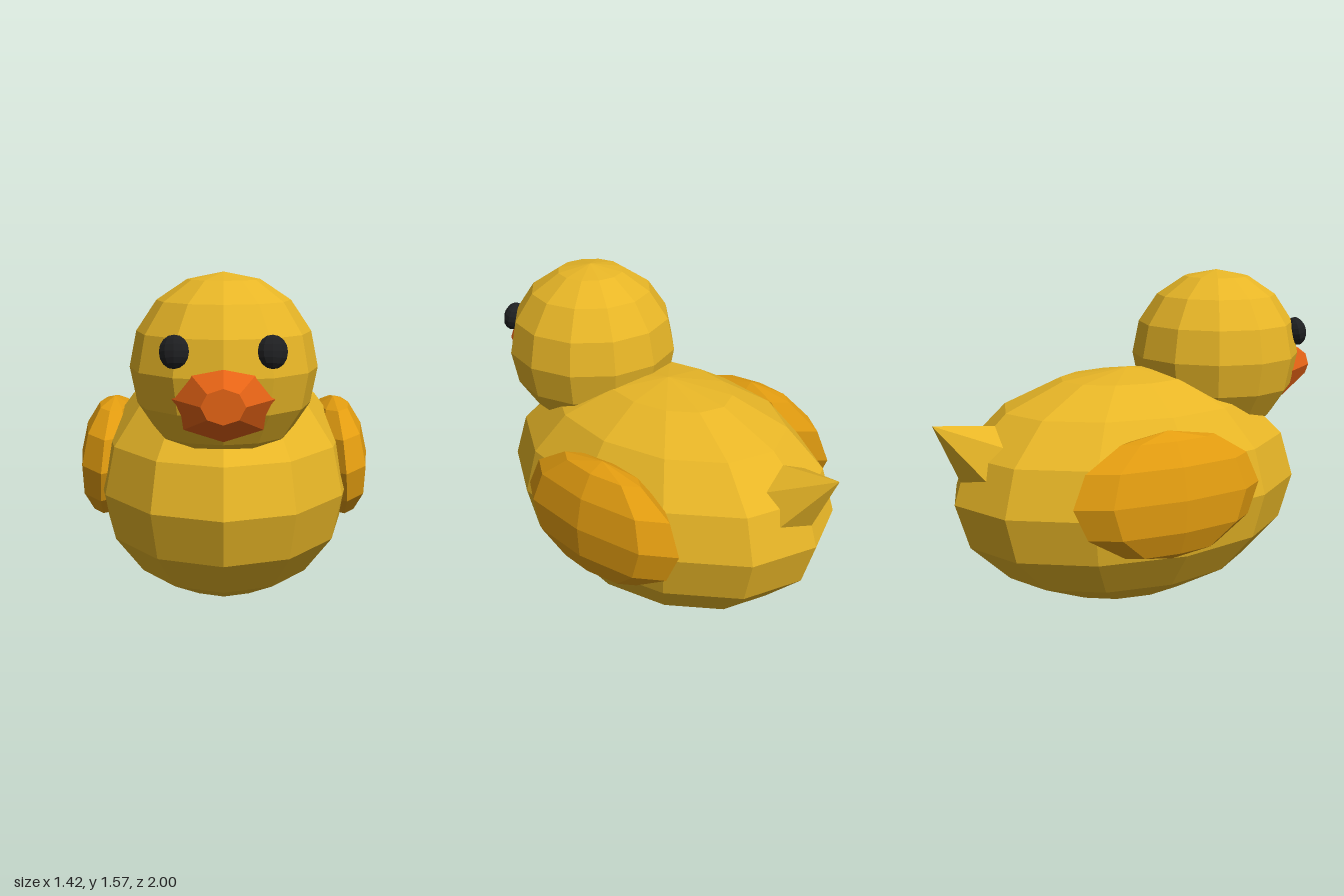
import * as THREE from 'three';

function flat(name, color) {
  const m = new THREE.MeshStandardMaterial({ color, flatShading: true });
  m.name = name;
  return m;
}

export function createModel() {
  const yellow = flat('duckling yellow', 0xe9b727);
  const amber = flat('wing amber', 0xe39d10);
  const orange = flat('beak orange', 0xe56315);
  const black = flat('eye black', 0x1e1f21);
  const duck = new THREE.Group();
  duck.name = 'duck';

  function add(name, geometry, material, x, y, z) {
    const mesh = new THREE.Mesh(geometry, material);
    mesh.name = name;
    mesh.position.set(x, y, z);
    duck.add(mesh);
    return mesh;
  }
  const ball = (rx, ry, rz, w, h) => new THREE.SphereGeometry(1, w, h).scale(rx, ry, rz);

  // Body and head
  add('body', ball(0.62, 0.565, 0.89, 12, 8), yellow, 0, 0.567, -0.02);
  add('head', ball(0.412, 0.412, 0.412, 12, 8), yellow, 0, 1.163, 0.48);

  // Blunt tapering beak, wider than tall
  const beak = new THREE.CylinderGeometry(0.09, 0.28, 0.3, 8)
    .rotateX(Math.PI / 2).scale(1, 0.81, 1);
  add('beak', beak, orange, 0, 1.072, 0.85);

  // Pointed tail tilted up and back, tip at the rear
  const tail = new THREE.ConeGeometry(0.23, 0.4, 6).translate(0, -0.2, 0).rotateX(-0.94);
  add('tail', tail, yellow, 0, 0.947, -1);

  // Paired eyes and wings
  for (const [side, s] of [['left', 1], ['right', -1]]) {
    const eye = add(side + 'Eye', ball(0.067, 0.07, 0.048, 10, 8), black, s * 0.2, 1.27, 0.83);
    eye.rotation.set(-0.25, s * 0.4, 0);
    const wing = add(side + 'Wing', ball(0.148, 0.29, 0.475, 8, 6), amber, s * 0.562, 0.65, -0.107);
    wing.rotation.z = s * 0.08;
  }
  return duck;
}
